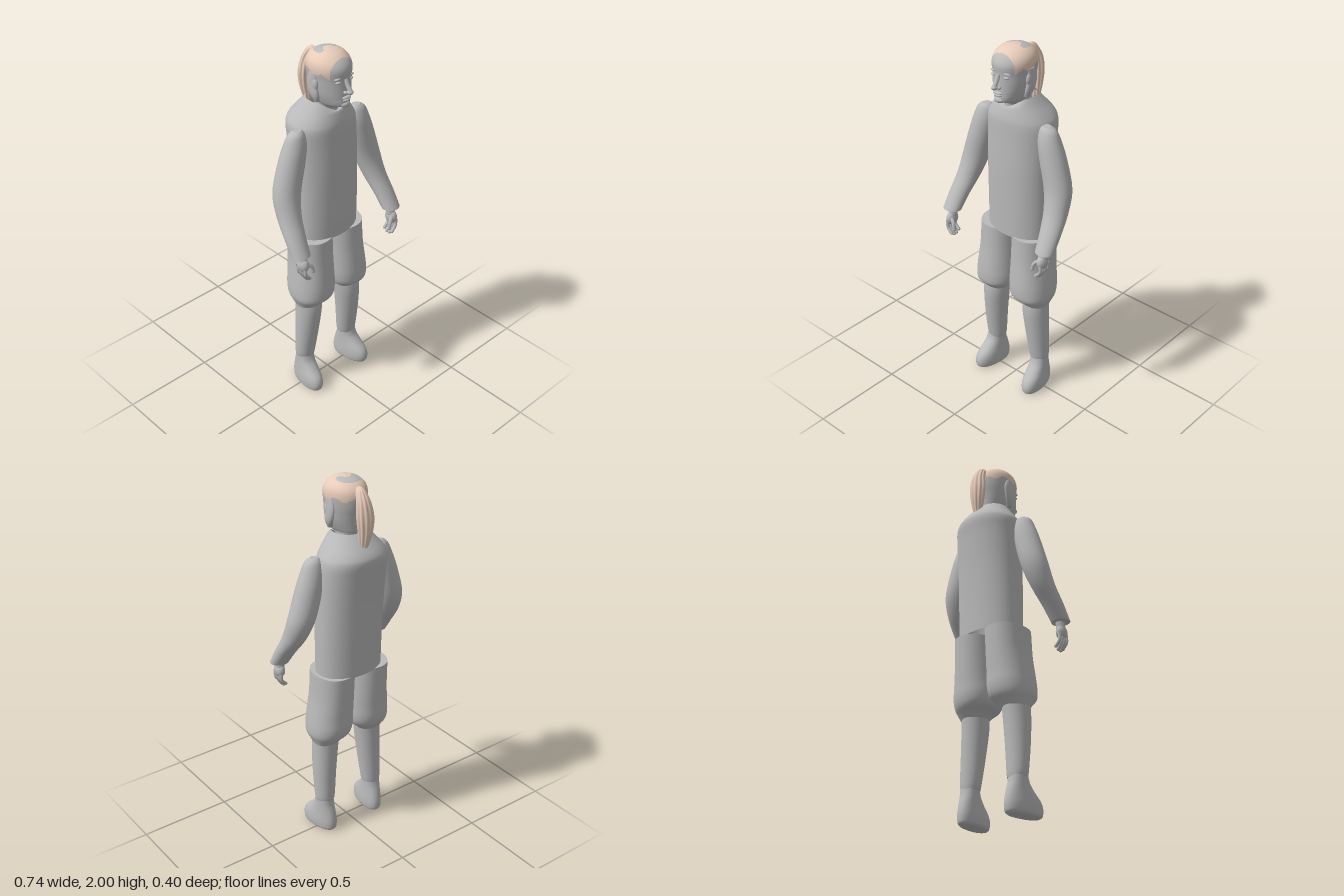
import * as THREE from 'three';

const grey = new THREE.MeshStandardMaterial({ color: 0xbababa, side: THREE.DoubleSide });
grey.name = 'plain grey';
const tan = new THREE.MeshStandardMaterial({ color: 0xe8cdb9, side: THREE.DoubleSide });
tan.name = 'hair tan';

// Smooth interpolation through rows of section values
function sample(rows, t) {
  const n = rows.length - 1;
  const i = Math.min(Math.floor(t * n), n - 1);
  const u = t * n - i;
  const at = (k) => rows[Math.max(0, Math.min(n, k))];
  const [a, b, c, d] = [at(i - 1), at(i), at(i + 1), at(i + 2)];
  return b.map((v, k) => v + 0.5 * u * (c[k] - a[k]
    + u * (2 * a[k] - 5 * v + 4 * c[k] - d[k] + u * (3 * (v - c[k]) + d[k] - a[k]))));
}

// Body of elliptical sections, listed from the bottom up: [y, centre x, half width, front z, back z]
function loft(rows, { steps = 5, sides = 40, power = 1, ripple = 0, caps = true, shape = null, isTan = null } = {}) {
  const pos = [], plain = [], coloured = [];
  const count = (rows.length - 1) * steps;
  const bend = (v) => Math.sign(v) * Math.abs(v) ** power;
  for (let r = 0; r <= count; r++) {
    const [y, cx, rx, zf, zb] = sample(rows, r / count);
    for (let s = 0; s < sides; s++) {
      const a = (s / sides) * Math.PI * 2;
      const k = 1 + ripple * Math.cos(a * 10);
      const p = new THREE.Vector3(cx + rx * k * bend(Math.cos(a)), y,
        (zf + zb) / 2 + (zf - zb) / 2 * k * bend(Math.sin(a)));
      if (shape) shape(p, r / count);
      pos.push(p.x, p.y, p.z);
    }
  }
  for (let r = 0; r < count; r++) {
    for (let s = 0; s < sides; s++) {
      const a = r * sides + s, c = r * sides + (s + 1) % sides;
      const b = a + sides, d = c + sides;
      const mid = [0, 1, 2].map((k) => (pos[a * 3 + k] + pos[d * 3 + k]) / 2);
      (isTan && isTan(...mid) ? coloured : plain).push(a, b, c, c, b, d);
    }
  }
  // End caps use their own corners so the rim stays sharp
  if (caps) [0, count].forEach((r) => {
    const first = pos.length / 3;
    const centre = [0, 0, 0];
    for (let s = 0; s < sides; s++) for (let k = 0; k < 3; k++) {
      const v = pos[(r * sides + s) * 3 + k];
      pos.push(v);
      centre[k] += v / sides;
    }
    pos.push(...centre);
    for (let s = 0; s < sides; s++) {
      const a = first + s, b = first + (s + 1) % sides;
      const target = isTan && r ? coloured : plain;
      target.push(first + sides, ...(r ? [b, a] : [a, b]));
    }
  });
  const geo = new THREE.BufferGeometry();
  geo.setAttribute('position', new THREE.Float32BufferAttribute(pos, 3));
  geo.setIndex([...plain, ...coloured]);
  if (isTan) {
    geo.addGroup(0, plain.length, 0);
    geo.addGroup(plain.length, coloured.length, 1);
  }
  geo.computeVertexNormals();
  return geo;
}

function add(parent, name, geometry, material = grey) {
  const mesh = new THREE.Mesh(geometry, material);
  mesh.name = name;
  parent.add(mesh);
  return mesh;
}

function blob(parent, name, [x, y, z], [sx, sy, sz]) {
  const mesh = add(parent, name, new THREE.SphereGeometry(1, 20, 14));
  mesh.position.set(x, y, z);
  mesh.scale.set(sx, sy, sz);
  return mesh;
}

function rod(parent, name, points, radius) {
  const path = new THREE.CatmullRomCurve3(points.map((p) => new THREE.Vector3(...p)));
  add(parent, name, new THREE.TubeGeometry(path, 8, radius, 8));
  blob(parent, name + 'Tip', points[points.length - 1], [radius, radius, radius]);
}

function buildHead() {
  const head = new THREE.Group();
  head.name = 'head';
  // Hairline around the skull, with a bare horseshoe on the crown
  const hair = (x, y, z) => {
    const line = 1.9 + 0.012 * Math.sin(z * 70 + 4) - z * 0.1;
    const crown = y > 1.95 && z < 0.012 && Math.hypot(x, z + 0.012) < 0.06 && Math.hypot(x, z - 0.012) > 0.03;
    return y > line && z < 0.095 && !crown;
  };
  add(head, 'skull', loft([
    [1.64, 0, 0.06, 0.055, -0.07], [1.7, 0, 0.056, 0.055, -0.07], [1.725, 0, 0.058, 0.105, -0.08],
    [1.74, 0, 0.068, 0.132, -0.085], [1.78, 0, 0.084, 0.132, -0.092], [1.82, 0, 0.093, 0.13, -0.1],
    [1.87, 0, 0.1, 0.128, -0.11], [1.92, 0, 0.104, 0.13, -0.112], [1.955, 0, 0.095, 0.113, -0.1],
    [1.982, 0, 0.07, 0.082, -0.07], [1.995, 0, 0.04, 0.05, -0.03], [2, 0, 0.006, 0.02, 0.008],
  ], { steps: 8, sides: 72, isTan: hair }), [grey, tan]);
  // Face
  rod(head, 'noseBridge', [[0, 1.878, 0.124], [0, 1.85, 0.138], [0, 1.822, 0.158]], 0.011);
  blob(head, 'noseTip', [0, 1.818, 0.155], [0.015, 0.012, 0.018]);
  blob(head, 'upperLip', [0, 1.784, 0.131], [0.027, 0.007, 0.014]);
  blob(head, 'lowerLip', [0, 1.771, 0.13], [0.023, 0.007, 0.014]);
  blob(head, 'chin', [0, 1.745, 0.118], [0.03, 0.018, 0.024]);
  for (const s of [-1, 1]) {
    blob(head, 'nostril', [s * 0.014, 1.814, 0.138], [0.009, 0.008, 0.012]);
    blob(head, 'eye', [s * 0.038, 1.865, 0.114], [0.017, 0.008, 0.012]);
    blob(head, 'brow', [s * 0.038, 1.886, 0.113], [0.024, 0.006, 0.012]).rotation.z = -s * 0.1;
    blob(head, 'ear', [s * 0.1, 1.845, 0.018], [0.012, 0.034, 0.02]);
    add(head, 'sideLock', loft([
      [1.75, s * 0.085, 0.014, 0.03, 0.005], [1.79, s * 0.097, 0.015, 0.04, -0.02],
      [1.85, s * 0.1, 0.012, 0.03, -0.035], [1.9, s * 0.098, 0.01, 0.03, -0.02],
    ], { sides: 16 }));
  }
  add(head, 'ponytail', loft([
    [1.632, 0, 0.008, -0.138, -0.15], [1.69, 0, 0.025, -0.122, -0.166], [1.76, -0.003, 0.038, -0.117, -0.18],
    [1.83, -0.003, 0.044, -0.112, -0.182], [1.9, 0, 0.036, -0.108, -0.168], [1.95, 0, 0.023, -0.09, -0.14],
    [1.968, 0, 0.01, -0.09, -0.118],
  ], { sides: 80, ripple: 0.07 }), tan);
  return head;
}

function buildArm(s) {
  const arm = new THREE.Group();
  arm.name = s > 0 ? 'leftArm' : 'rightArm';
  add(arm, 'sleeve', loft([
    [1.02, s * 0.32, 0.051, 0.192, 0.102], [1.1, s * 0.313, 0.056, 0.15, 0.045],
    [1.2, s * 0.297, 0.063, 0.1, -0.028], [1.31, s * 0.276, 0.073, 0.07, -0.068],
    [1.45, s * 0.238, 0.072, 0.06, -0.07], [1.54, s * 0.215, 0.063, 0.052, -0.06],
    [1.6, s * 0.205, 0.046, 0.036, -0.042], [1.622, s * 0.198, 0.02, 0.018, -0.022],
  ]));
  // Hand with curled fingers and a thumb
  rod(arm, 'wrist', [[s * 0.312, 1.03, 0.148], [s * 0.314, 0.99, 0.153]], 0.024);
  blob(arm, 'palm', [s * 0.316, 0.965, 0.156], [0.026, 0.04, 0.036]);
  for (let i = 0; i < 4; i++) {
    const z = 0.128 + i * 0.018;
    const low = [0.888, 0.876, 0.874, 0.886][i];
    rod(arm, 'finger', [[s * 0.325, 0.955, z], [s * 0.322, 0.915, z + 0.002], [s * 0.297, low, z + 0.002]], 0.009);
  }
  rod(arm, 'thumb', [[s * 0.305, 0.975, 0.172], [s * 0.282, 0.95, 0.183], [s * 0.274, 0.92, 0.186]], 0.01);
  return arm;
}

function buildLeg(s) {
  const leg = new THREE.Group();
  leg.name = s > 0 ? 'leftLeg' : 'rightLeg';
  // Puffed breeches gathered below the knee
  add(leg, 'breeches', loft([
    [0.55, s * 0.14, 0.07, 0.065, -0.07], [0.575, s * 0.135, 0.085, 0.085, -0.09],
    [0.61, s * 0.122, 0.112, 0.118, -0.118], [0.66, s * 0.117, 0.118, 0.124, -0.132],
    [0.73, s * 0.114, 0.114, 0.12, -0.135], [0.84, s * 0.109, 0.107, 0.11, -0.142],
    [0.975, s * 0.107, 0.105, 0.104, -0.15],
  ], { power: 0.9 }));
  add(leg, 'lowerLeg', loft([
    [0.185, s * 0.156, 0.05, 0.034, -0.064], [0.22, s * 0.156, 0.056, 0.04, -0.066],
    [0.36, s * 0.15, 0.064, 0.06, -0.066], [0.5, s * 0.142, 0.07, 0.074, -0.07],
    [0.58, s * 0.138, 0.072, 0.07, -0.075],
  ]));
  const shoe = add(leg, 'shoe', loft([
    [0, 0, 0.043, 0.115, -0.078], [0.012, 0, 0.052, 0.128, -0.09], [0.045, 0, 0.055, 0.132, -0.094],
    [0.08, 0, 0.053, 0.118, -0.09], [0.12, 0, 0.049, 0.078, -0.08], [0.16, 0, 0.047, 0.045, -0.068],
    [0.21, 0, 0.046, 0.03, -0.06],
  ], { power: 0.9 }));
  shoe.position.x = s * 0.162;
  shoe.rotation.y = s * 0.14;
  return leg;
}

export function createModel() {
  const model = new THREE.Group();
  model.name = 'figure';
  // Tunic with sloping shoulders and a notched collar
  add(model, 'tunic', loft([
    [0.97, 0.008, 0.184, 0.1, -0.155], [1.15, 0.008, 0.185, 0.104, -0.162], [1.35, 0.006, 0.186, 0.106, -0.174],
    [1.52, 0.003, 0.187, 0.102, -0.19], [1.6, 0, 0.184, 0.1, -0.2], [1.64, 0, 0.164, 0.095, -0.19],
    [1.69, 0, 0.125, 0.08, -0.15], [1.735, 0, 0.092, 0.06, -0.108],
  ], {
    sides: 56, power: 0.92, caps: false,
    shape: (p, t) => {
      if (t > 0.86 && p.z > 0) p.y -= 0.055 * (t - 0.86) / 0.14 * Math.max(0, 1 - Math.abs(p.x) / 0.08);
    },
  }));
  model.add(buildHead());
  for (const s of [-1, 1]) model.add(buildArm(s), buildLeg(s));
  return model;
}
